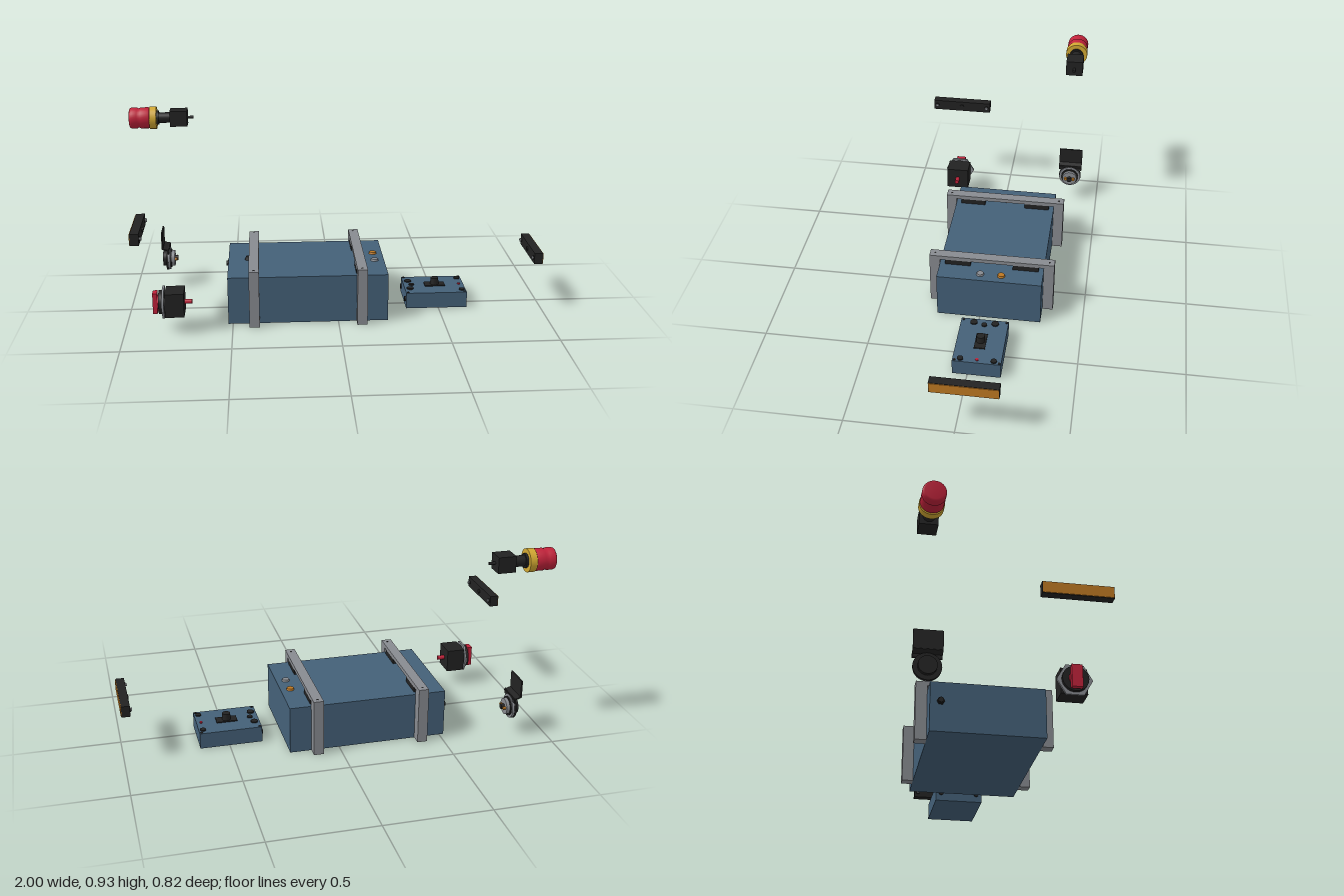
import * as THREE from 'three';

const mat = (name, color) => {
  const m = new THREE.MeshStandardMaterial({ color });
  m.name = name;
  return m;
};

export function createModel() {
  const blue = mat('slate blue', 0x446078);
  const grey = mat('steel grey', 0x888b90);
  const black = mat('black', 0x222222);
  const red = mat('signal red', 0xc0223a);
  const yellow = mat('yellow', 0xd2a832);
  const orange = mat('amber', 0xbd7822);

  const model = new THREE.Group();
  const group = (name) => {
    const g = new THREE.Group();
    g.name = name;
    model.add(g);
    return g;
  };
  const add = (parent, name, geo, m) => {
    const mesh = new THREE.Mesh(geo, m);
    mesh.name = name;
    parent.add(mesh);
    return mesh;
  };
  // Box given by its limits on each axis
  const box = (p, name, m, x0, x1, y0, y1, z0, z1) =>
    add(p, name, new THREE.BoxGeometry(x1 - x0, y1 - y0, z1 - z0), m)
      .position.set((x0 + x1) / 2, (y0 + y1) / 2, (z0 + z1) / 2);
  // Upright cylinder from y0 to y1
  const cylY = (p, name, m, x, z, r, y0, y1, rTop = r) =>
    add(p, name, new THREE.CylinderGeometry(rTop, r, y1 - y0, 24), m)
      .position.set(x, (y0 + y1) / 2, z);
  // Cylinder lying along x from x0 to x1
  const cylX = (p, name, m, y, z, r, x0, x1, sides = 32) => {
    const geo = new THREE.CylinderGeometry(r, r, x1 - x0, sides).rotateZ(-Math.PI / 2);
    const mesh = add(p, name, geo, m);
    mesh.position.set((x0 + x1) / 2, y, z);
    return mesh;
  };

  // Main enclosure with indicator lamps and cable glands
  const cabinet = group('enclosure');
  box(cabinet, 'enclosureBody', blue, -0.522, 0.237, 0, 0.23, -0.297, 0.21);
  cylY(cabinet, 'amberLamp', orange, 0.19, -0.098, 0.019, 0.23, 0.239, 0.016);
  cylY(cabinet, 'greyLamp', grey, 0.19, 0.004, 0.019, 0.23, 0.239, 0.016);
  cylY(cabinet, 'topGland', black, -0.425, -0.047, 0.017, 0.23, 0.246, 0.012);
  cylX(cabinet, 'sideGlandNut', black, 0.14, -0.25, 0.017, -0.532, -0.522, 6);
  cylX(cabinet, 'sideGland', black, 0.14, -0.25, 0.012, -0.541, -0.532);

  // Two mounting frames bridging the enclosure, with rubber pads
  for (const x of [-0.398, 0.111]) {
    const strap = group('mountingFrame');
    const a = x - 0.024, b = x + 0.024;
    box(strap, 'frontLeg', grey, a, b, 0, 0.275, 0.21, 0.261);
    box(strap, 'backLeg', grey, a, b, 0, 0.275, -0.348, -0.297);
    box(strap, 'crossBar', grey, a, b, 0.255, 0.275, -0.297, 0.21);
    box(strap, 'frontPad', black, a, b, 0.23, 0.255, 0.06, 0.185);
    box(strap, 'backPad', black, a, b, 0.23, 0.255, -0.272, -0.147);
    for (const z of [-0.323, 0.236]) cylY(strap, 'boltHole', black, x, z, 0.005, 0.274, 0.276);
  }

  // Control box with joystick and buttons
  const pendant = group('controlBox');
  box(pendant, 'controlBoxBody', blue, 0.342, 0.64, 0, 0.078, -0.156, 0.071);
  box(pendant, 'joystickPlate', black, 0.445, 0.545, 0.078, 0.083, -0.069, -0.017);
  cylY(pendant, 'joystick', black, 0.495, -0.043, 0.021, 0.083, 0.115, 0.019);
  for (const s of [-1, 1]) {
    cylY(pendant, 'leftButton', black, 0.368, -0.043 + s * 0.051, 0.017, 0.078, 0.084);
    cylY(pendant, 'rightButton', black, 0.62, -0.043 + s * 0.078, 0.014, 0.078, 0.084);
    cylX(pendant, 'plug', black, 0.04, -0.043 + s * 0.087, 0.012, 0.335, 0.342);
    for (const x of [0.352, 0.631])
      cylY(pendant, 'cornerScrew', black, x, -0.043 + s * 0.104, 0.006, 0.078, 0.081);
  }
  cylY(pendant, 'smallButton', black, 0.38, -0.043, 0.013, 0.078, 0.084);
  cylY(pendant, 'redLamp', red, 0.618, -0.043, 0.008, 0.078, 0.082);

  // Emergency stop button, lying along x
  const stop = group('emergencyStop');
  const sy = 0.878, sz = -0.349;
  const profile = [[0, 0.1], [0.042, 0.1], [0.049, 0.096], [0.052, 0.088], [0.052, 0.062],
    [0.047, 0.054], [0.052, 0.044], [0.052, 0.006], [0.046, 0], [0, 0]];
  const cap = add(stop, 'mushroomButton',
    new THREE.LatheGeometry(profile.map(([r, h]) => new THREE.Vector2(r, h)).reverse(), 32)
      .rotateZ(Math.PI / 2), red);
  cap.position.set(-0.9, sy, sz);
  cylX(stop, 'yellowCollar', yellow, sy, sz, 0.055, -0.9, -0.866);
  cylX(stop, 'lockNut', black, sy, sz, 0.036, -0.886, -0.876);
  cylX(stop, 'neck', black, sy, sz, 0.026, -0.866, -0.8);
  cylX(stop, 'neckNut', black, sy, sz, 0.034, -0.866, -0.855);
  box(stop, 'contactBlock', black, -0.8, -0.715, 0.84, 0.917, sz - 0.042, sz + 0.042);
  cylX(stop, 'cablePin', black, sy, sz, 0.007, -0.715, -0.685);

  // Pilot light with label plate
  const pilot = group('pilotLight');
  const py = 0.14, pz = -0.348;
  box(pilot, 'labelPlate', black, -0.868, -0.861, 0.208, 0.294, pz - 0.062, pz + 0.062);
  const bend = add(pilot, 'plateBend', new THREE.BoxGeometry(0.038, 0.006, 0.124), black);
  bend.position.set(-0.848, 0.203, pz);
  bend.rotation.z = -0.35;
  box(pilot, 'plateTab', black, -0.84, -0.832, 0.18, 0.205, pz - 0.062, pz + 0.062);
  cylX(pilot, 'backPlate', black, py, pz, 0.06, -0.848, -0.838);
  cylX(pilot, 'bezel', grey, py, pz, 0.058, -0.838, -0.828);
  cylX(pilot, 'gasket', black, py, pz, 0.047, -0.828, -0.822);
  cylX(pilot, 'lampBody', grey, py, pz, 0.039, -0.822, -0.806);
  cylX(pilot, 'lampRear', black, py, pz, 0.013, -0.806, -0.79);
  cylX(pilot, 'lampFront', black, py, pz, 0.04, -0.865, -0.848);
  for (const s of [-1, 1]) cylX(pilot, 'terminal', orange, py, pz + s * 0.021, 0.008, -0.806, -0.795);

  // Isolator switch with red handle
  const sw = group('isolatorSwitch');
  const wz = 0.262;
  box(sw, 'switchBody', black, -0.808, -0.72, 0.083, 0.197, wz - 0.057, wz + 0.057);
  // Hexagon stands with points towards front and back
  cylX(sw, 'hexPlate', grey, 0.14, wz, 0.0765, -0.822, -0.812, 6);
  cylX(sw, 'mountRing', black, 0.14, wz, 0.058, -0.812, -0.808);
  cylX(sw, 'dial', black, 0.14, wz, 0.056, -0.838, -0.822);
  cylX(sw, 'handleHub', red, 0.14, wz, 0.03, -0.845, -0.838);
  box(sw, 'handle', red, -0.866, -0.845, 0.09, 0.19, wz - 0.023, wz + 0.023);
  cylX(sw, 'shaft', red, 0.14, wz, 0.011, -0.72, -0.685);

  // Light bars: amber lens outwards, screws and cable boss inwards
  const lightBar = (xc, y, z, side) => {
    const bar = group('lightBar');
    bar.position.set(xc, y, z);
    bar.rotation.y = side > 0 ? 0 : Math.PI;
    box(bar, 'barHousing', black, -0.021, 0.019, -0.027, 0.027, -0.153, 0.153);
    box(bar, 'barLens', orange, 0.019, 0.022, -0.025, 0.025, -0.151, 0.151);
    cylX(bar, 'cableBoss', black, 0, 0, 0.011, -0.026, -0.021);
    for (const s of [-1, 1]) {
      cylX(bar, 'screwBoss', black, 0, s * 0.135, 0.01, -0.025, -0.021);
      cylX(bar, 'screw', grey, 0, s * 0.135, 0.008, -0.031, -0.025, 6);
    }
  };
  lightBar(-0.92, 0.496, 0.262, -1);
  lightBar(0.978, 0.257, -0.043, 1);

  return model;
}
